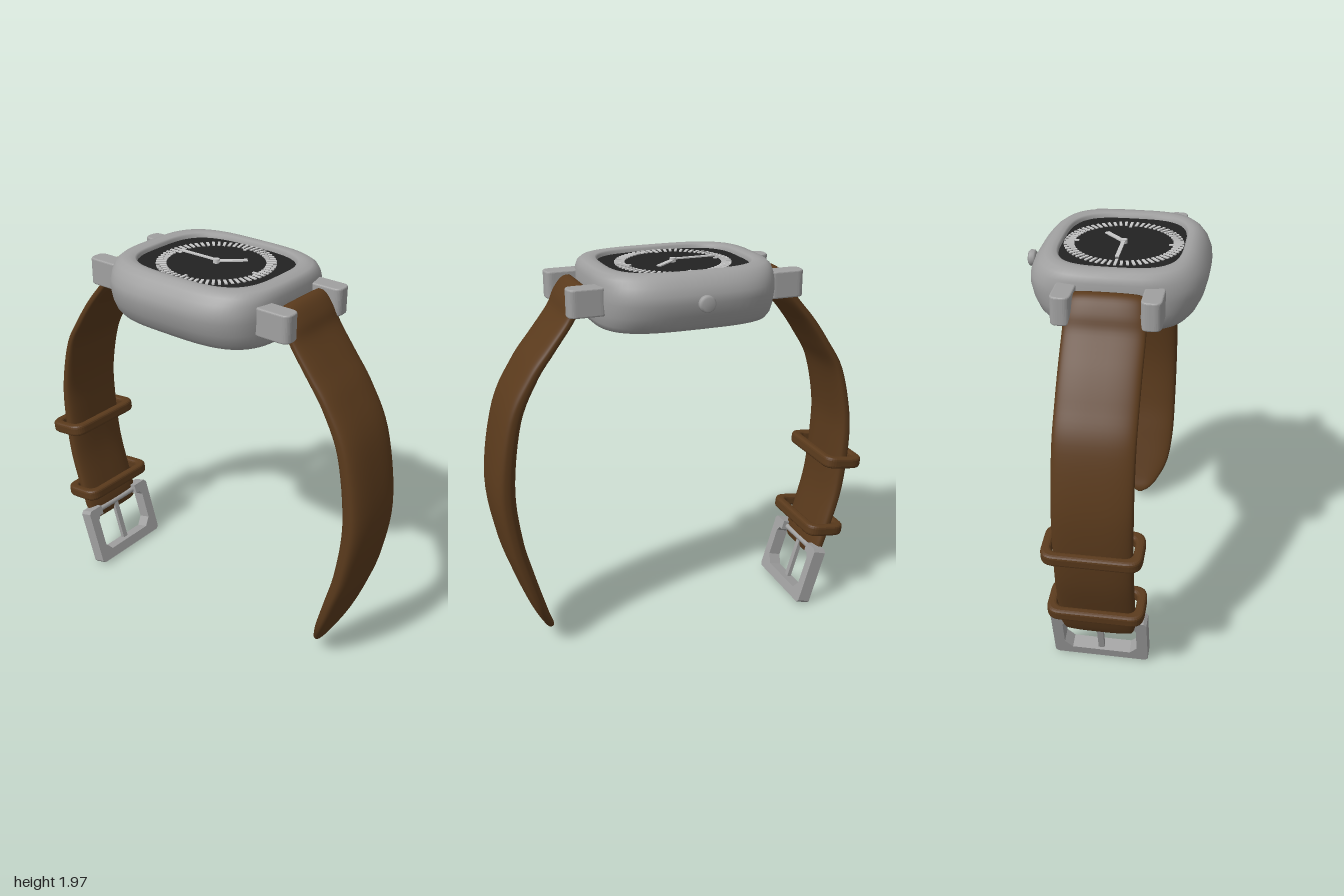
import * as THREE from 'three';
import { mergeGeometries } from 'three/addons/utils/BufferGeometryUtils.js';

const CX = -0.03, CZ = 0.02, SEG = 64;

// Skin a list of closed rings that turn counter-clockwise about the direction of travel
function loft(rings) {
  const n = rings[0].length, pos = [], index = [];
  rings.forEach(r => r.forEach(p => pos.push(p.x, p.y, p.z)));
  for (let i = 0; i < rings.length - 1; i++) {
    for (let j = 0; j < n; j++) {
      const k = (j + 1) % n, a = i * n + j, b = i * n + k;
      index.push(a, b, b + n, a, b + n, a + n);
    }
  }
  const g = new THREE.BufferGeometry();
  g.setAttribute('position', new THREE.Float32BufferAttribute(pos, 3));
  g.setIndex(index);
  g.computeVertexNormals();
  return g;
}

// Rounded-square (superellipse) outline
function squircle(rx, ry, e) {
  const f = v => Math.sign(v) * Math.abs(v) ** (2 / e);
  return Array.from({ length: SEG }, (_, i) => {
    const a = i / SEG * Math.PI * 2;
    return [rx * f(Math.cos(a)), ry * f(Math.sin(a))];
  });
}
const levelRing = ([rx, rz, y], e = 3.4) =>
  squircle(rx, rz, e).map(([x, z]) => new THREE.Vector3(x, y, -z));

// Padded strap along a side-on path; each station is [z, y, half width, half thickness]
function strap(stations) {
  const path = new THREE.CatmullRomCurve3(stations.map(s => new THREE.Vector3(0, s[1], s[0])), false, 'catmullrom', 0.5);
  const size = new THREE.CatmullRomCurve3(stations.map(s => new THREE.Vector3(s[2], s[3], 0)), false, 'catmullrom', 0.5);
  const X = new THREE.Vector3(1, 0, 0), rings = [], steps = 72;
  for (let i = 0; i <= steps; i++) {
    const p = path.getPoint(i / steps), s = size.getPoint(i / steps);
    const nrm = path.getTangent(i / steps).cross(X).normalize();
    rings.push(squircle(Math.max(s.x, 0.001), Math.max(s.y, 0.001), 2.8).map(([x, t]) =>
      p.clone().addScaledVector(X, x).addScaledVector(nrm, t)));
  }
  const cap = ring => {
    const c = ring.reduce((s, p) => s.add(p), new THREE.Vector3()).divideScalar(ring.length);
    return ring.map(() => c);
  };
  return loft([cap(rings[0]), ...rings, cap(rings[steps])]);
}

function roundedRect(target, w, h, r) {
  target.moveTo(w, -h + r);
  target.lineTo(w, h - r).quadraticCurveTo(w, h, w - r, h);
  target.lineTo(-w + r, h).quadraticCurveTo(-w, h, -w, h - r);
  target.lineTo(-w, -h + r).quadraticCurveTo(-w, -h, -w + r, -h);
  target.lineTo(w - r, -h).quadraticCurveTo(w, -h, w, -h + r);
  return target;
}

// Extrusion centred on its depth, with a small bevel kept inside the outline
function slab(shape, depth, bevel) {
  const g = new THREE.ExtrudeGeometry(shape, {
    depth: depth - 2 * bevel, bevelSize: bevel, bevelThickness: bevel,
    bevelOffset: -bevel, bevelSegments: 3, curveSegments: 8,
  });
  return g.translate(0, 0, -depth / 2 + bevel);
}

export function createModel() {
  const group = new THREE.Group();
  const material = (name, color) => {
    const m = new THREE.MeshStandardMaterial({ color });
    m.name = name;
    return m;
  };
  const metal = material('metal', 0xa0a0a0);
  const leather = material('leather', 0x5a3a1c);
  const black = material('dial black', 0x222222);
  const pale = material('marker grey', 0xc6c6c6);
  const add = (name, geometry, mat, x = 0, y = 0, z = 0, parent = group) => {
    const m = new THREE.Mesh(geometry, mat);
    m.name = name;
    m.position.set(x, y, z);
    parent.add(m);
    return m;
  };

  // Case: flat back, bulging sides, rounded bezel and a step down to the dial
  const profile = [
    [0.001, 0.001, 1.702], [0.30, 0.36, 1.702], [0.325, 0.40, 1.696], [0.35, 0.43, 1.702],
    [0.375, 0.444, 1.73], [0.40, 0.45, 1.78], [0.415, 0.453, 1.84], [0.412, 0.453, 1.88],
    [0.395, 0.45, 1.92], [0.37, 0.443, 1.95], [0.345, 0.425, 1.968], [0.32, 0.39, 1.974],
    [0.298, 0.36, 1.97], [0.29, 0.351, 1.962], [0.288, 0.349, 1.94],
  ];
  add('case', loft(profile.map(p => levelRing(p))), metal, CX, 0, CZ);
  add('dial', loft([levelRing([0.289, 0.35, 1.948]), levelRing([0.001, 0.001, 1.948])]), black, CX, 0, CZ);

  // Minute ring with longer quarter markers
  const ticks = [];
  for (let i = 0; i < 60; i++) {
    const len = i % 15 ? 0.05 : 0.07;
    ticks.push(new THREE.BoxGeometry(0.013, 0.006, len)
      .translate(0, 0, -0.285 + len / 2).rotateY(-i * Math.PI / 30));
  }
  add('minuteMarkers', mergeGeometries(ticks), pale, CX, 1.95, CZ);

  // Hands
  const hand = (name, len, width, angle, y) => {
    const g = new THREE.BoxGeometry(width, 0.006, len + 0.015).translate(0, 0, -len / 2);
    add(name, g, pale, CX, y, CZ).rotation.y = angle;
  };
  hand('minuteHand', 0.21, 0.018, 0, 1.963);
  hand('hourHand', 0.14, 0.024, -2.4, 1.957);
  add('handPin', new THREE.CylinderGeometry(0.016, 0.016, 0.02, 20), pale, CX, 1.958, CZ);

  // Crown and its stem
  add('crownStem', new THREE.CylinderGeometry(0.022, 0.022, 0.06, 20).rotateZ(Math.PI / 2), metal, 0.385, 1.846, 0.025);
  const crownProfile = [[0, -0.019], [0.03, -0.019], [0.04, -0.01], [0.04, 0.01], [0.03, 0.019], [0, 0.019]]
    .map(p => new THREE.Vector2(...p));
  add('crown', new THREE.LatheGeometry(crownProfile, 24).rotateZ(-Math.PI / 2), metal, 0.417, 1.846, 0.025);

  // Four lugs
  const lugGeometry = slab(roundedRect(new THREE.Shape(), 0.047, 0.095, 0.04), 0.134, 0.008).rotateX(-Math.PI / 2);
  for (const sx of [-1, 1]) for (const z of [0.519, -0.483]) {
    add('lug', lugGeometry, metal, CX - 0.005 + sx * 0.2, 1.844, z);
  }
  for (const z of [0.53, -0.49]) {
    add('springBar', new THREE.CylinderGeometry(0.014, 0.014, 0.38, 16).rotateZ(Math.PI / 2), metal, CX, 1.85, z);
  }

  // Straps
  add('frontStrap', strap([
    [0.497, 1.888, 0.155, 0.018], [0.525, 1.868, 0.172, 0.036], [0.56, 1.815, 0.183, 0.04],
    [0.60, 1.74, 0.186, 0.033], [0.69, 1.62, 0.186, 0.036], [0.785, 1.49, 0.186, 0.042],
    [0.885, 1.28, 0.186, 0.052], [0.94, 0.93, 0.186, 0.059], [0.91, 0.63, 0.186, 0.052],
    [0.855, 0.42, 0.183, 0.045], [0.80, 0.25, 0.16, 0.036], [0.755, 0.135, 0.105, 0.025],
    [0.728, 0.08, 0.058, 0.018], [0.715, 0.052, 0.008, 0.006],
  ]), leather, CX);
  add('backStrap', strap([
    [-0.457, 1.888, 0.155, 0.018], [-0.488, 1.87, 0.172, 0.036], [-0.525, 1.815, 0.183, 0.04],
    [-0.57, 1.74, 0.186, 0.033], [-0.67, 1.62, 0.186, 0.034], [-0.76, 1.49, 0.186, 0.034],
    [-0.845, 1.34, 0.186, 0.036], [-0.90, 1.1, 0.186, 0.04], [-0.905, 0.9, 0.186, 0.046],
    [-0.88, 0.65, 0.186, 0.044], [-0.825, 0.44, 0.186, 0.04], [-0.785, 0.31, 0.184, 0.036],
    [-0.772, 0.25, 0.17, 0.022], [-0.77, 0.238, 0.16, 0.01],
  ]), leather, CX);

  // Two keeper loops around the back strap
  const loopShape = roundedRect(new THREE.Shape(), 0.234, 0.112, 0.07);
  loopShape.holes.push(roundedRect(new THREE.Path(), 0.188, 0.066, 0.04));
  const loopGeometry = slab(loopShape, 0.062, 0.016).rotateX(-Math.PI / 2);
  for (const [y, z] of [[0.827, -0.887], [0.435, -0.8]]) {
    add('keeperLoop', loopGeometry, leather, CX, y, z).rotation.x = -0.13;
  }

  // Buckle: open frame with inward tabs, hinge bar and prong
  const buckle = new THREE.Group();
  buckle.name = 'buckle';
  buckle.position.set(CX, 0.169, -0.713);
  buckle.rotation.x = -0.29;
  group.add(buckle);
  const half = [
    [0.222, -0.165], [0.237, -0.15], [0.237, 0.15], [0.222, 0.165], [0.14, 0.165],
    [0.14, 0.115], [0.165, 0.115], [0.183, 0.09], [0.183, -0.065], [0.145, -0.11],
  ];
  const outline = [...half, ...half.map(([x, y]) => [-x, y]).reverse()];
  const frameShape = new THREE.Shape(outline.map(p => new THREE.Vector2(...p)));
  add('buckleFrame', new THREE.ExtrudeGeometry(frameShape, { depth: 0.07, bevelEnabled: false }).translate(0, 0, -0.035), metal, 0, 0, 0, buckle);
  add('hingeBar', new THREE.CylinderGeometry(0.016, 0.016, 0.3, 16).rotateZ(Math.PI / 2), metal, 0, 0.135, 0, buckle);
  add('prong', new THREE.BoxGeometry(0.03, 0.27, 0.022), metal, 0, 0.005, -0.01, buckle);

  return group;
}
